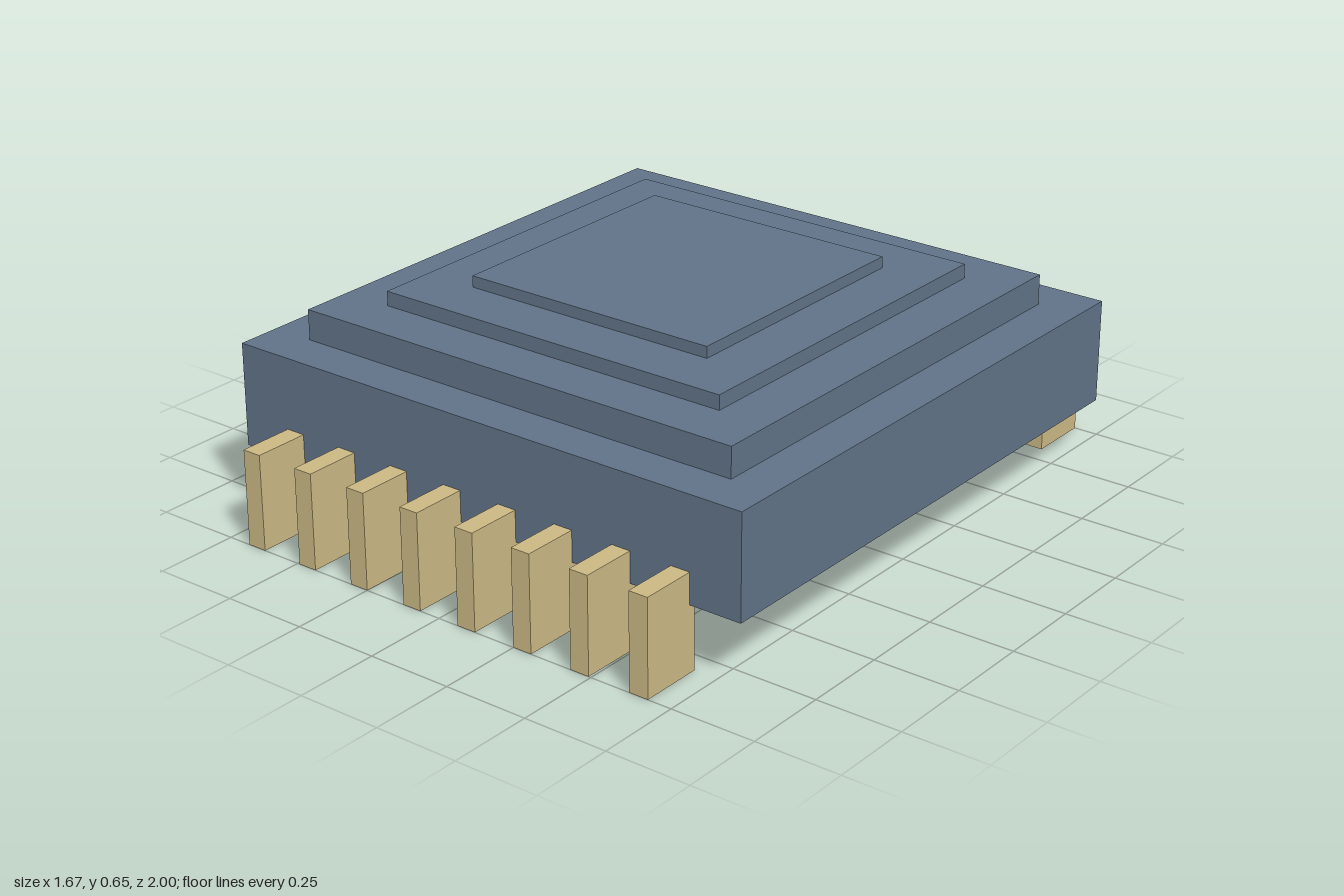
import * as THREE from 'three';

export function createModel() {
  const model = new THREE.Group();
  const slate = new THREE.MeshStandardMaterial({ color: 0x607287 });
  slate.name = 'slate blue';
  const brass = new THREE.MeshStandardMaterial({ color: 0xcab783 });
  brass.name = 'pale brass';

  // Box spanning y0..y1, centred at x, z
  function addBox(name, material, width, y0, y1, depth, x = 0, z = 0) {
    const mesh = new THREE.Mesh(new THREE.BoxGeometry(width, y1 - y0, depth), material);
    mesh.name = name;
    mesh.position.set(x, (y0 + y1) / 2, z);
    model.add(mesh);
  }

  // Square body with three shrinking steps on top: name, side, bottom, top
  const tiers = [
    ['body', 1.67, 0.19, 0.49],
    ['lowerStep', 1.415, 0.49, 0.578],
    ['middleStep', 1.115, 0.578, 0.62],
    ['topStep', 0.79, 0.62, 0.653],
  ];
  for (const [name, side, y0, y1] of tiers) addBox(name, slate, side, y0, y1, side);

  // Eight pins along the front and back, slightly sunk into the body
  for (const [name, sign] of [['frontPin', 1], ['backPin', -1]]) {
    for (let i = 0; i < 8; i++) {
      addBox(name + (i + 1), brass, 0.058, 0, 0.28, 0.185, (i - 3.5) * 0.1857, sign * 0.9075);
    }
  }
  return model;
}
